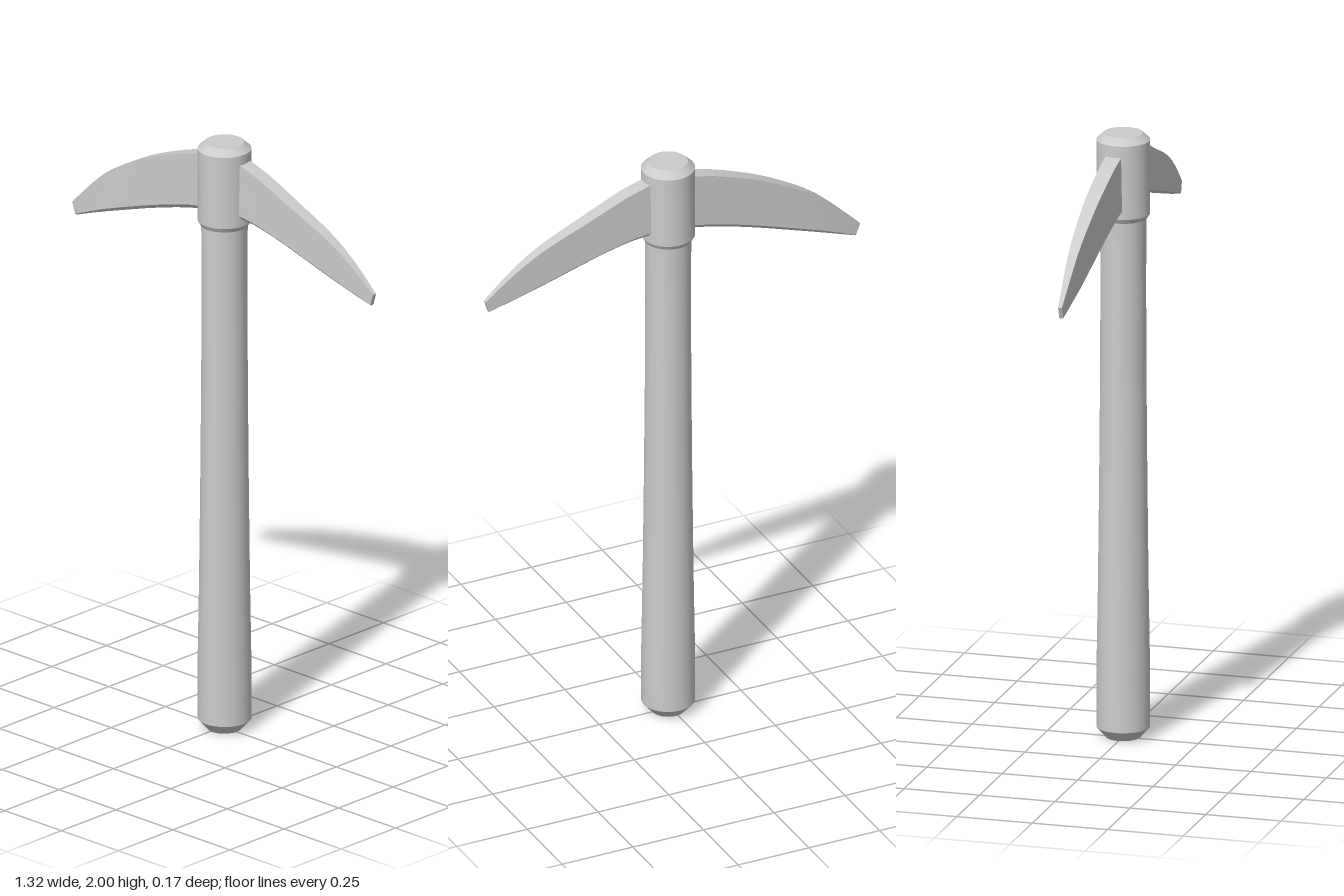
import * as THREE from 'three';
import { toCreasedNormals } from 'three/addons/utils/BufferGeometryUtils.js';

const material = new THREE.MeshStandardMaterial({ color: 0xcccccc });
const vec = ([x, y]) => new THREE.Vector2(x, y);

function addMesh(group, name, geometry, crease) {
  const mesh = new THREE.Mesh(toCreasedNormals(geometry, crease), material);
  mesh.name = name;
  group.add(mesh);
  return mesh;
}

// Turned part around the shaft axis, profile listed from bottom to top
function addTurned(group, name, profile) {
  const mesh = addMesh(group, name, new THREE.LatheGeometry(profile.map(vec), 32), 0.45);
  mesh.position.set(0.008, 0, -0.001);
}

// Curved blade: six-sided sections swept from one tip to the other
function bladeGeometry() {
  const top = new THREE.SplineCurve([
    [-0.664, 1.61], [-0.52, 1.745], [-0.39, 1.825], [-0.257, 1.885], [-0.077, 1.94],
    [0.098, 1.945], [0.32, 1.858], [0.46, 1.797], [0.56, 1.735], [0.66, 1.655],
  ].map(vec));
  const bottom = new THREE.SplineCurve([
    [-0.648, 1.57], [-0.56, 1.603], [-0.47, 1.635], [-0.257, 1.705], [-0.077, 1.75],
    [0.098, 1.76], [0.23, 1.737], [0.43, 1.678], [0.54, 1.645], [0.648, 1.615],
  ].map(vec));
  const steps = 27, sides = 6, zMid = -0.009;
  const positions = [], index = [];
  for (let i = 0; i <= steps; i++) {
    const a = top.getPoint(i / steps), b = bottom.getPoint(i / steps);
    const half = 0.007 + 0.022 * (1 - Math.pow(Math.abs(a.x) / 0.664, 2.6));
    // Narrow bevel along the lower edge, slight one along the upper
    const section = [[0, 0.85], [0.03, 1], [0.93, 1], [1, 0.6]];
    const ring = [[0, 0.9], [0.93, 1], [1, 0.6], [1, -0.6], [0.93, -1], [0, -0.9]];
    for (const [t, w] of ring) {
      positions.push(a.x + (b.x - a.x) * t, a.y + (b.y - a.y) * t, zMid + half * w);
    }
  }
  for (let i = 0; i < steps; i++) {
    for (let j = 0; j < sides; j++) {
      const p = i * sides + j, q = i * sides + (j + 1) % sides;
      index.push(p, q, q + sides, p, q + sides, p + sides);
    }
  }
  // Flat tips
  const last = steps * sides;
  for (let j = 1; j < sides - 1; j++) {
    index.push(0, j + 1, j, last, last + j, last + j + 1);
  }
  const geometry = new THREE.BufferGeometry();
  geometry.setAttribute('position', new THREE.Float32BufferAttribute(positions, 3));
  geometry.setIndex(index);
  return geometry;
}

export function createModel() {
  const group = new THREE.Group();
  group.name = 'pickaxe';

  // Slightly waisted shaft with a chamfered butt
  addTurned(group, 'handle', [
    [0, 0], [0.055, 0], [0.086, 0.035], [0.086, 0.2], [0.081, 0.5],
    [0.077, 0.85], [0.074, 1.2], [0.073, 1.5], [0.074, 1.74], [0, 1.74],
  ]);

  // Socket that holds the blade
  addTurned(group, 'collar', [
    [0, 1.72], [0.077, 1.72], [0.086, 1.735], [0.086, 1.978], [0.063, 2], [0, 2],
  ]);

  addMesh(group, 'blade', bladeGeometry(), 0.3);
  return group;
}
